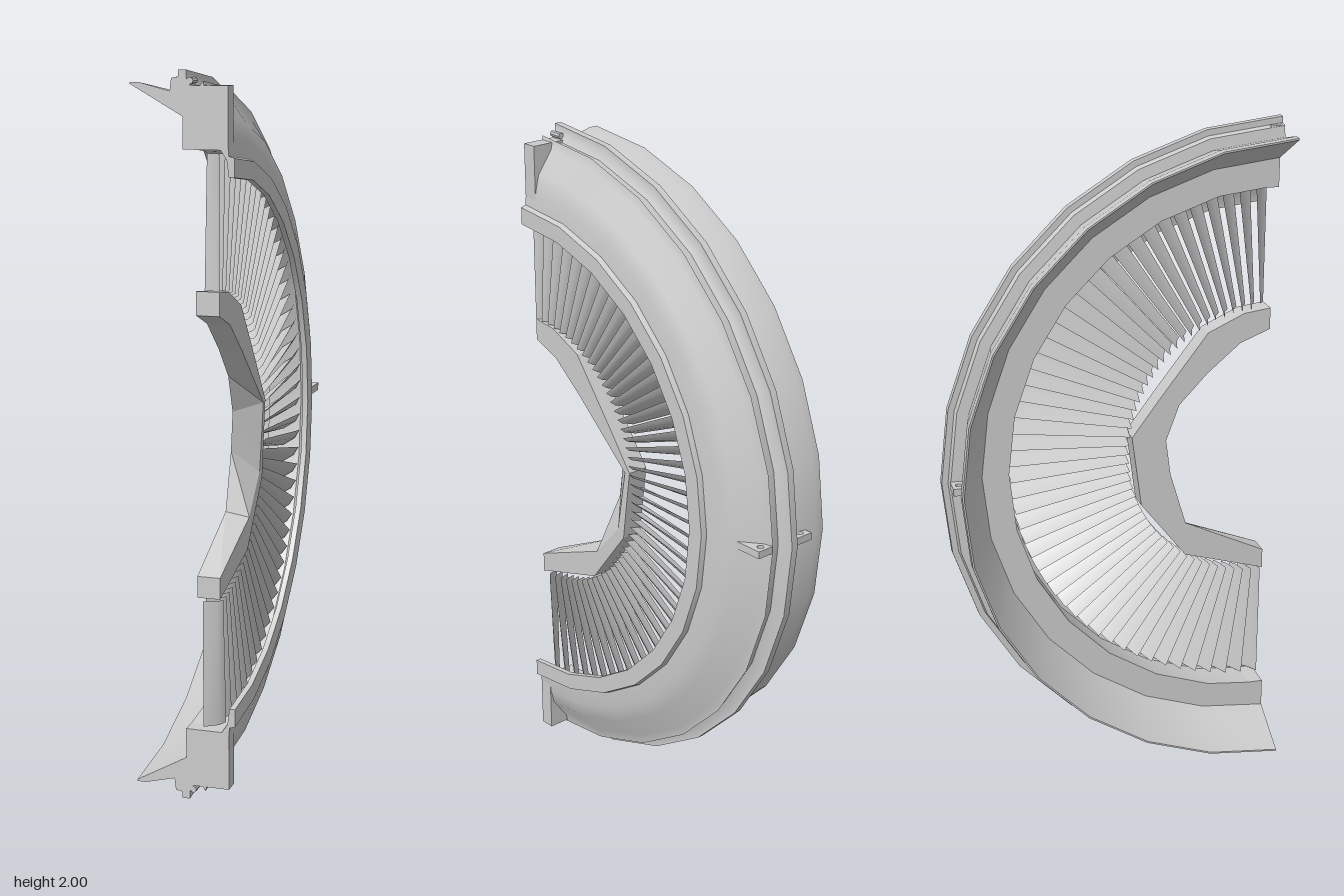
import * as THREE from 'three';
import { toCreasedNormals } from 'three/addons/utils/BufferGeometryUtils.js';

const CY = 1, CZ = 0.5; // axis of the half ring, running along x
const smooth = new THREE.MeshStandardMaterial({ color: 0xcccccc, side: THREE.DoubleSide });
const flat = new THREE.MeshStandardMaterial({ color: 0xcccccc, side: THREE.DoubleSide, flatShading: true });

// Casing cross-section as (x, radius): outer skin, then back along the inside
const casingProfile = [
  [-0.145, 0.967], [-0.12, 0.967], [-0.035, 0.945], [-0.031, 0.978], [-0.012, 0.982],
  [-0.012, 1], [0.01, 1], [0.01, 0.98], [0.022, 0.958], [0.048, 0.96], [0.056, 0.972],
  [0.062, 0.945], [0.11, 0.88], [0.122, 0.83], [0.126, 0.78], [0.142, 0.775], [0.142, 0.725],
  [0.126, 0.725], [0.12, 0.77], [0.1, 0.8], [0, 0.8], [0, 0.88], [-0.145, 0.962],
];

function named(geometry, material, name) {
  const mesh = new THREE.Mesh(geometry, material);
  mesh.name = name;
  return mesh;
}

// Half revolution of a closed profile about the x axis, on the -z side
function halfRing(profile, segments) {
  const pts = [...profile, profile[0]].map(([x, r]) => new THREE.Vector2(r, x));
  const g = new THREE.LatheGeometry(pts, segments, Math.PI / 2, Math.PI);
  g.rotateZ(-Math.PI / 2).translate(0, CY, CZ);
  return toCreasedNormals(g, 0.55);
}

// Flat face closing the profile on the cut plane; side is +1 top, -1 bottom
function cutFace(profile, side) {
  const shape = new THREE.Shape(profile.map(([x, r]) => new THREE.Vector2(x, CY + side * r)));
  return new THREE.ShapeGeometry(shape).translate(0, 0, CZ);
}

// Loft of closed sections (arrays of [x, y, z]) with capped quad ends
function loft(sections) {
  const n = sections[0].length, index = [];
  for (let s = 0; s < sections.length - 1; s++) {
    for (let i = 0; i < n; i++) {
      const j = (i + 1) % n, a = s * n + i, b = s * n + j;
      index.push(a, b, b + n, a, b + n, a + n);
    }
  }
  const e = (sections.length - 1) * n;
  index.push(0, 2, 1, 0, 3, 2, e, e + 1, e + 2, e, e + 2, e + 3);
  const g = new THREE.BufferGeometry();
  g.setAttribute('position', new THREE.Float32BufferAttribute(sections.flat(2), 3));
  g.setIndex(index);
  g.computeVertexNormals();
  return g;
}

// Curved slat running radially, swept between two angles and two x positions
function vaneGeometry(step) {
  const g = new THREE.PlaneGeometry(1, 1, 2, 1);
  const p = g.attributes.position;
  for (let i = 0; i < p.count; i++) {
    const t = p.getX(i) + 0.5;
    const r = p.getY(i) > 0 ? 0.785 : 0.425;
    const a = t * step * 0.96;
    p.setXYZ(i, 0.1 - 0.05 * t * t, r * Math.cos(a), -r * Math.sin(a));
  }
  g.computeVertexNormals();
  return g;
}

// Lug plate in the x/z plane with a round hole
function lugGeometry(x0, x1, zIn, zOut, holeX) {
  const s = new THREE.Shape();
  s.moveTo(x0, -zIn).lineTo(x1, -zIn).lineTo(x1, -zOut).lineTo(x0, -zOut).closePath();
  const hole = new THREE.Path();
  hole.absarc(holeX, -zOut - 0.02, 0.01, 0, Math.PI * 2, true);
  s.holes.push(hole);
  const g = new THREE.ExtrudeGeometry(s, { depth: 0.022, bevelEnabled: false, curveSegments: 6 });
  return g.rotateX(-Math.PI / 2).translate(0, CY - 0.011, 0);
}

export function createModel() {
  const model = new THREE.Group();
  model.name = 'halfRingVaneAssembly';

  // Outer casing and its cut ends
  model.add(named(halfRing(casingProfile, 14), smooth, 'casing'));
  for (const side of [1, -1]) {
    const label = side > 0 ? 'upper' : 'lower';
    model.add(named(cutFace(casingProfile, side), flat, label + 'CutFace'));

    // Block closing the casing end
    const block = named(new THREE.BoxGeometry(0.124, 0.165, 0.045), flat, label + 'EndBlock');
    block.position.set(0.062, CY + side * 0.8775, CZ - 0.0225);
    model.add(block);

    // Small joint studs beside the central flange
    for (const x of [-0.022, 0.02]) {
      const stud = named(new THREE.CylinderGeometry(0.009, 0.009, 0.04, 8), flat, label + 'JointStud');
      stud.rotation.x = Math.PI / 2;
      stud.position.set(x, CY + side * 0.972, CZ - 0.02);
      model.add(stud);
    }
  }

  // Fan of fixed vanes
  const vanes = new THREE.Group();
  vanes.name = 'vanes';
  const count = 48, step = Math.PI / count, vane = vaneGeometry(step);
  for (let i = 0; i < count; i++) {
    const m = named(vane, smooth, 'vane');
    m.position.set(0, CY, CZ);
    m.rotation.x = -i * step;
    vanes.add(m);
  }
  model.add(vanes);

  // Faceted inner hub: [outer z, y], [inner z, y at +x], [inner z, y at -x]
  const hubStations = [
    [[0.5, 1.425], [0.5, 1.36], [0.5, 1.36]],
    [[0.42, 1.415], [0.41, 1.325], [0.41, 1.325]],
    [[0.31, 1.365], [0.3, 1.235], [0.31, 1.24]],
    [[0.165, 1.175], [0.2, 1.145], [0.225, 1.15]],
    [[0.08, 1.06], [0.1, 1.055], [0.185, 1.04]],
    [[0.11, 0.84], [0.135, 0.86], [0.2, 0.93]],
    [[0.25, 0.66], [0.235, 0.75], [0.25, 0.765]],
    [[0.5, 0.585], [0.5, 0.645], [0.5, 0.645]],
  ];
  const hub = loft(hubStations.map(([o, p, n]) => [
    [0.1, o[1], o[0]], [0.035, o[1], o[0]], [0.035, n[1], n[0]], [0.1, p[1], p[0]],
  ]));
  model.add(named(hub, flat, 'innerHub'));

  // Drilled lugs at the back
  model.add(named(lugGeometry(0.056, 0.108, -0.36, -0.47, 0.083), flat, 'leftLug'));
  model.add(named(lugGeometry(-0.086, -0.031, -0.43, -0.48, -0.06), flat, 'rightLug'));

  return model;
}
